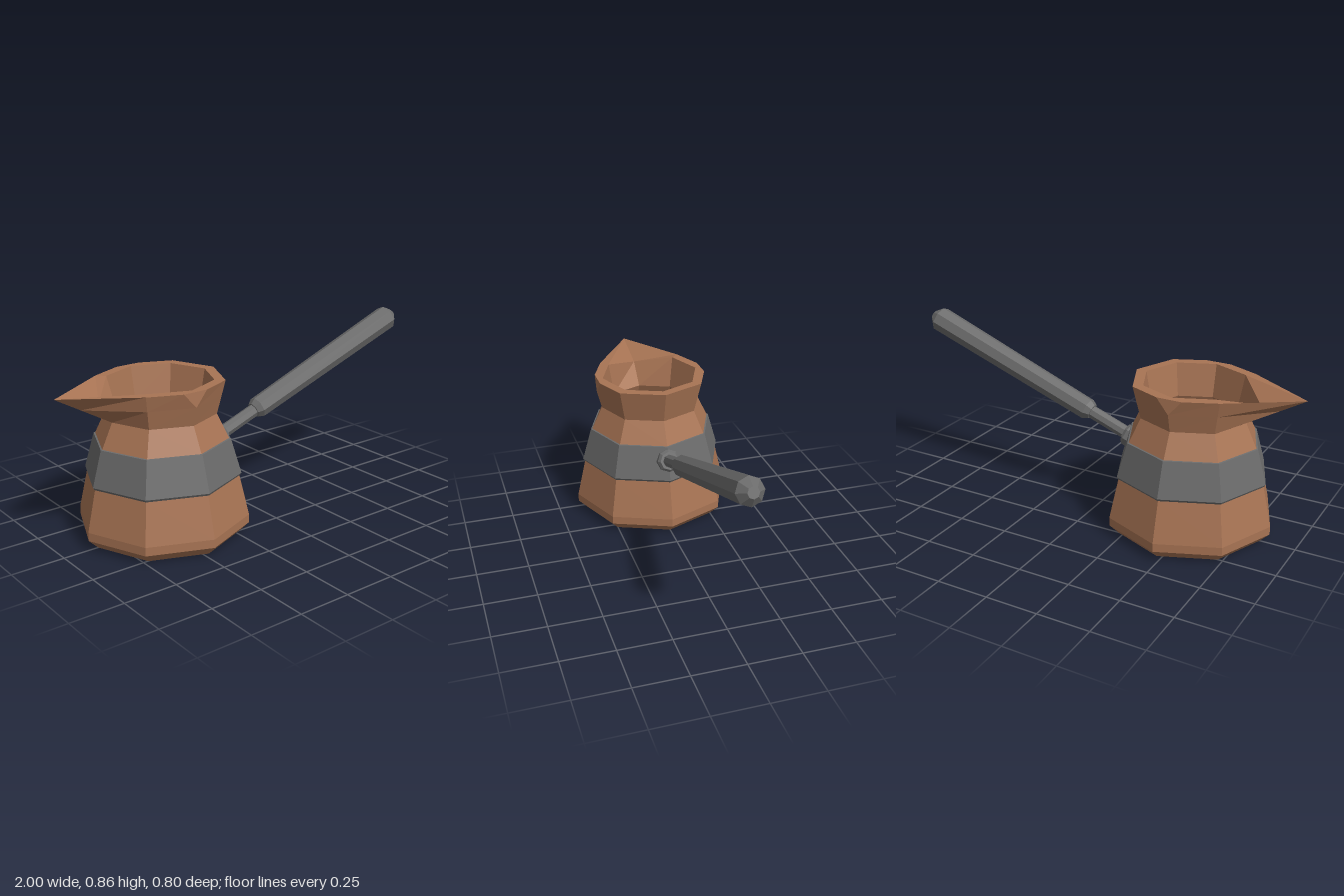
import * as THREE from 'three';

const CX = -0.475; // pot axis
const SIDES = 8;

// Faceted normals for the low-poly look
function faceted(geo) {
  const g = geo.index ? geo.toNonIndexed() : geo;
  g.computeVertexNormals();
  return g;
}

function turned(profile) {
  const pts = profile.map(([r, y]) => new THREE.Vector2(r, y));
  return faceted(new THREE.LatheGeometry(pts, SIDES));
}

// Flared rim with pouring spout and a small notch on each side
function rimGeometry() {
  const rows = [[], [], [], [], []]; // neck, middle, lip, inner lip, inner neck
  const polar = (r, a, y) => new THREE.Vector3(r * Math.cos(a), y, r * Math.sin(a));
  for (let k = 0; k < SIDES; k++) {
    const a = k * Math.PI / 4;
    const neck = polar(0.255, a, 0.57);
    const innerNeck = polar(0.215, a, 0.57);
    let lips = [polar(0.295, a, 0.727)];
    let inner = polar(0.245, a, 0.727);
    let mid = null;
    if (k === 4) { // spout
      lips = [new THREE.Vector3(-1 - CX, 0.727, 0)];
      inner = new THREE.Vector3(-0.315, 0.67, 0);
    } else if (k === 2 || k === 6) { // notch
      const s = k === 2 ? 1 : -1;
      lips = [s, -s].map(d => new THREE.Vector3(0.06 * d, 0.727, 0.273 * s));
      mid = polar(0.278, a, 0.657);
    }
    for (const lip of lips) {
      const m = mid || neck.clone().lerp(lip, 0.55);
      [neck, m, lip, inner, innerNeck].forEach((p, i) => rows[i].push(p));
    }
  }
  const pos = [];
  const tri = (a, b, c) => {
    if (a.distanceTo(b) > 1e-5 && b.distanceTo(c) > 1e-5 && a.distanceTo(c) > 1e-5)
      for (const p of [a, b, c]) pos.push(p.x, p.y, p.z);
  };
  for (let r = 0; r < rows.length - 1; r++) {
    const n = rows[r].length;
    for (let c = 0; c < n; c++) {
      const e = (c + 1) % n;
      tri(rows[r][c], rows[r + 1][c], rows[r][e]);
      tri(rows[r][e], rows[r + 1][c], rows[r + 1][e]);
    }
  }
  const g = new THREE.BufferGeometry();
  g.setAttribute('position', new THREE.Float32BufferAttribute(pos, 3));
  return faceted(g);
}

export function createModel() {
  const copper = new THREE.MeshStandardMaterial({ color: 0xa87454 });
  copper.name = 'copper';
  const iron = new THREE.MeshStandardMaterial({ color: 0x6b6b6b });
  iron.name = 'darkIron';

  const model = new THREE.Group();
  model.name = 'coffeePot';
  const add = (parent, name, geo, mat) => {
    const mesh = new THREE.Mesh(geo, mat);
    mesh.name = name;
    parent.add(mesh);
    return mesh;
  };

  // Pot
  const pot = new THREE.Group();
  pot.name = 'pot';
  pot.position.x = CX;
  model.add(pot);
  add(pot, 'body', turned([[0, 0], [0.355, 0], [0.4, 0.045], [0.4, 0.085],
    [0.355, 0.28], [0.31, 0.455], [0.255, 0.57]]), copper);
  add(pot, 'innerWall', turned([[0.215, 0.57], [0.27, 0.44], [0.35, 0.09], [0.32, 0.05], [0, 0.05]]), copper);
  add(pot, 'rim', rimGeometry(), copper);
  add(pot, 'band', turned([[0.345, 0.278], [0.358, 0.279], [0.365, 0.29],
    [0.317, 0.455], [0.302, 0.458]]), iron);

  // Handle, turned along its own axis and tilted upward
  const start = new THREE.Vector2(-0.14, 0.39);
  const end = new THREE.Vector2(0.95, 0.8);
  const length = start.distanceTo(end);
  const handle = new THREE.Group();
  handle.name = 'handle';
  handle.position.set(start.x, start.y, 0);
  handle.rotation.z = end.clone().sub(start).angle() - Math.PI / 2;
  model.add(handle);
  add(handle, 'flange', turned([[0, -0.03], [0.058, -0.03], [0.058, 0.002], [0.046, 0.016], [0, 0.016]]), iron);
  add(handle, 'rod', turned([[0.032, 0], [0.032, 0.225]]), iron);
  add(handle, 'grip', turned([[0, 0.212], [0.038, 0.212], [0.053, 0.24],
    [0.063, length], [0.026, length + 0.04], [0, length + 0.04]]), iron);

  return model;
}
